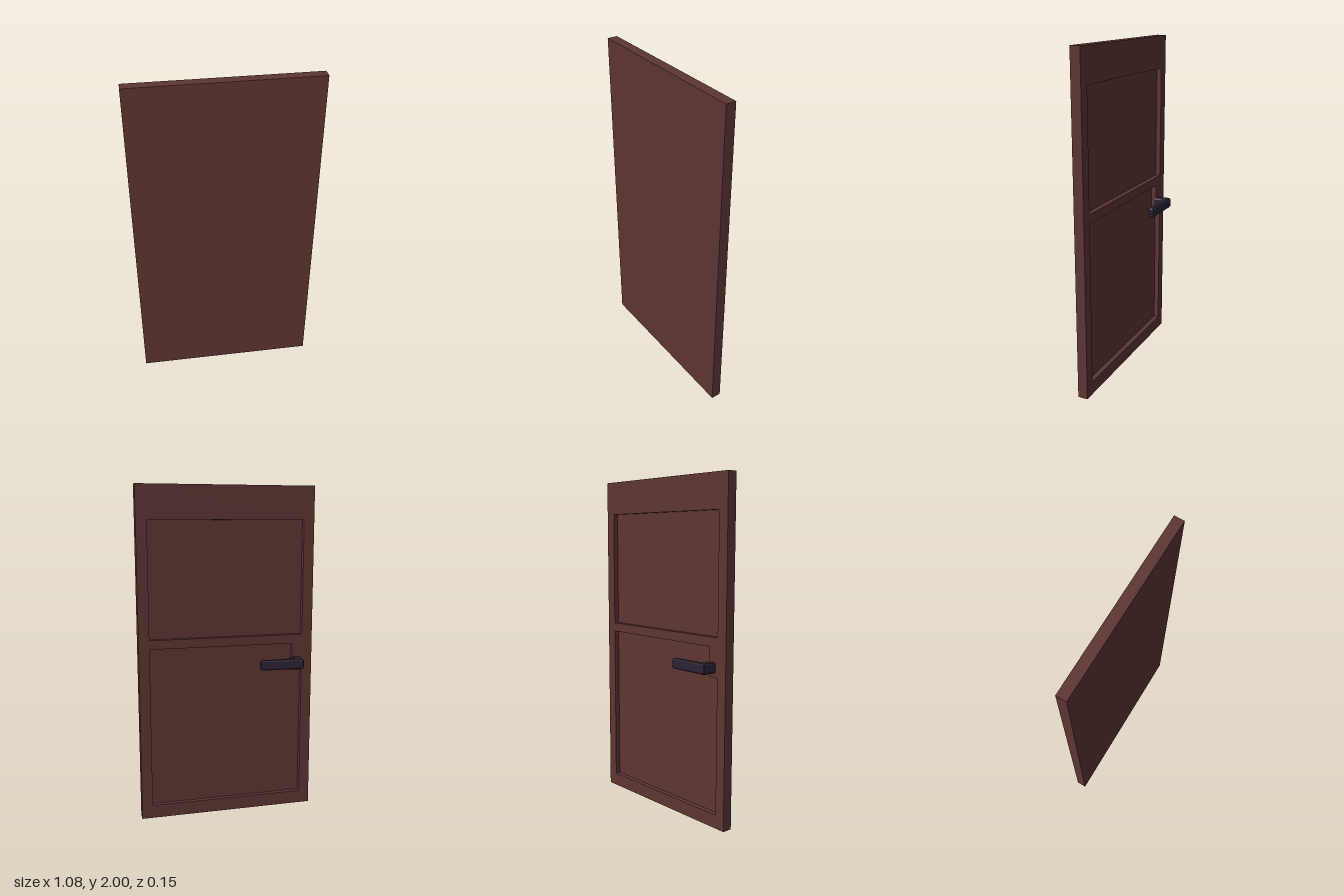
import * as THREE from 'three';

const W = 1.08, H = 2, FRONT = 0.07, FLOOR = 0.04, BACK = 0.01;

function polygon(points, Type = THREE.Shape) {
  return new Type(points.map(([x, y]) => new THREE.Vector2(x, y)));
}

export function createModel() {
  const wood = new THREE.MeshStandardMaterial({ color: 0x5c3533 });
  wood.name = 'brown wood';
  const metal = new THREE.MeshStandardMaterial({ color: 0x2c2233 });
  metal.name = 'dark metal';

  const door = new THREE.Group();
  door.name = 'door';
  const add = (name, geometry, material) => {
    const mesh = new THREE.Mesh(geometry, material);
    mesh.name = name;
    door.add(mesh);
    return mesh;
  };

  // Plain front slab; its back is the floor of the recessed panels
  add('frontSlab', new THREE.BoxGeometry(W, H, FRONT - FLOOR), wood)
    .position.set(0, H / 2, (FRONT + FLOOR) / 2);

  // Back frame with two panel openings, the lower one notched around the handle
  const w = W / 2, p = 0.475;
  const frame = polygon([[-w, 0], [w, 0], [w, H], [-w, H]]);
  frame.holes.push(
    polygon([[-p, 1.105], [p, 1.105], [p, 1.8], [-p, 1.8]], THREE.Path),
    polygon([[-p, 0.08], [p, 0.08], [p, 1.05], [-0.412, 1.05], [-0.412, 0.88], [-p, 0.88]], THREE.Path),
  );
  const frameGeometry = new THREE.ExtrudeGeometry(frame, { depth: FLOOR - BACK, bevelEnabled: false });
  frameGeometry.translate(0, 0, BACK);
  add('panelFrame', frameGeometry, wood);

  // L-shaped lever handle, drawn from above as (x, -z) and raised along y
  const bevel = 0.009, bottom = 0.904, top = 0.965;
  const outline = polygon([
    [-0.46, -0.02], [-0.407, -0.02], [-0.407, 0.035], [-0.188, 0.043],
    [-0.188, 0.07], [-0.455, 0.078], [-0.46, 0.073],
  ]);
  const handle = new THREE.ExtrudeGeometry(outline, {
    depth: top - bottom - 2 * bevel, bevelThickness: bevel, bevelSize: 0.006,
    bevelOffset: -0.006, bevelSegments: 1,
  });
  handle.rotateX(-Math.PI / 2);
  handle.translate(0, bottom + bevel, 0);
  add('leverHandle', handle, metal);

  return door;
}
